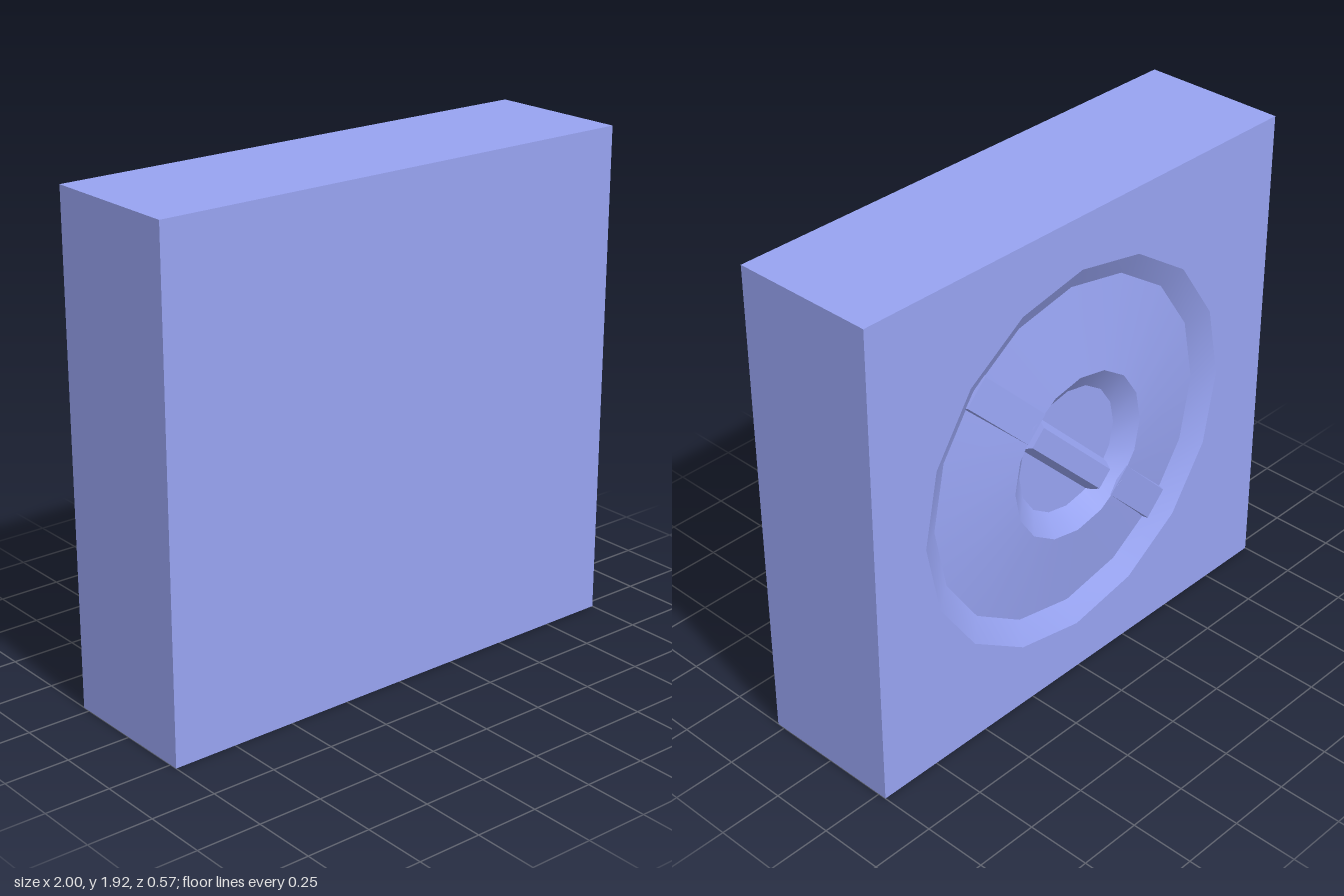
import * as THREE from 'three';
import { toCreasedNormals } from 'three/addons/utils/BufferGeometryUtils.js';

const W = 2, H = 1.922, BACK = -0.283, FRONT = 0.283;
const RIM = 0.755, CX = 0.013, SIDES = 16;

export function createModel() {
  const group = new THREE.Group();
  const material = new THREE.MeshStandardMaterial({ color: 0x97a3f1 });
  const add = (name, geometry, parent = group) => {
    const mesh = new THREE.Mesh(geometry, material);
    mesh.name = name;
    parent.add(mesh);
    return mesh;
  };

  // Block without its back face (the last of the six box faces)
  const block = new THREE.BoxGeometry(W, H, FRONT - BACK);
  block.setIndex(Array.from(block.index.array).slice(0, 30));
  block.translate(0, H / 2, 0);
  add('block', block);

  // Back face, opened by a many-sided round hole and turned to face -z
  const face = new THREE.Shape([
    new THREE.Vector2(-W / 2, 0), new THREE.Vector2(W / 2, 0),
    new THREE.Vector2(W / 2, H), new THREE.Vector2(-W / 2, H),
  ]);
  const rim = [];
  for (let i = 0; i < SIDES; i++) {
    const a = (-i / SIDES) * Math.PI * 2;
    rim.push(new THREE.Vector2(-CX + RIM * Math.cos(a), H / 2 + RIM * Math.sin(a)));
  }
  face.holes.push(new THREE.Path(rim));
  const backFace = new THREE.ShapeGeometry(face);
  backFace.rotateY(Math.PI);
  backFace.translate(0, 0, BACK);
  add('backFace', backFace);

  // Everything in the cavity is placed around the centre of the hole
  const cavity = new THREE.Group();
  cavity.name = 'cavity';
  cavity.position.set(CX, H / 2, BACK);
  group.add(cavity);

  // Dished cavity: sloping wall, shallow ring rising inward, then a small central well
  const profile = [[RIM, 0], [0.668, -0.05], [0.325, -0.002], [0.245, -0.06], [0, -0.06]]
    .map(([r, y]) => new THREE.Vector2(r, y));
  const dish = new THREE.LatheGeometry(profile, SIDES);
  dish.rotateX(-Math.PI / 2);
  add('dishedSurface', toCreasedNormals(dish, Math.PI / 8), cavity);

  // Tapered rib along x between two radii; d0 and d1 are the depths of its top
  const rib = (r0, r1, d0, d1, top, base) => {
    const g = new THREE.BoxGeometry(1, 1, 1);
    const p = g.attributes.position;
    for (let i = 0; i < p.count; i++) {
      const t = p.getX(i) + 0.5;
      const isTop = p.getZ(i) < 0;
      p.setXYZ(i, r0 + (r1 - r0) * t, p.getY(i) * (isTop ? top : base),
        isTop ? d0 + (d1 - d0) * t : 0.09);
    }
    g.computeVertexNormals();
    return g;
  };

  // Diagonal parting ribs on the ring and a bar across the well
  for (const turn of [0, Math.PI]) {
    add('ringRib', rib(0.31, 0.67, 0.001, 0.035, 0.12, 0.16), cavity).rotation.z = Math.PI / 4 + turn;
  }
  const bar = add('wellBar', rib(-0.25, 0.25, 0.02, 0.02, 0.08, 0.16), cavity);
  bar.rotation.z = Math.PI / 4;
  bar.position.set(0.015, -0.015, 0);

  return group;
}
